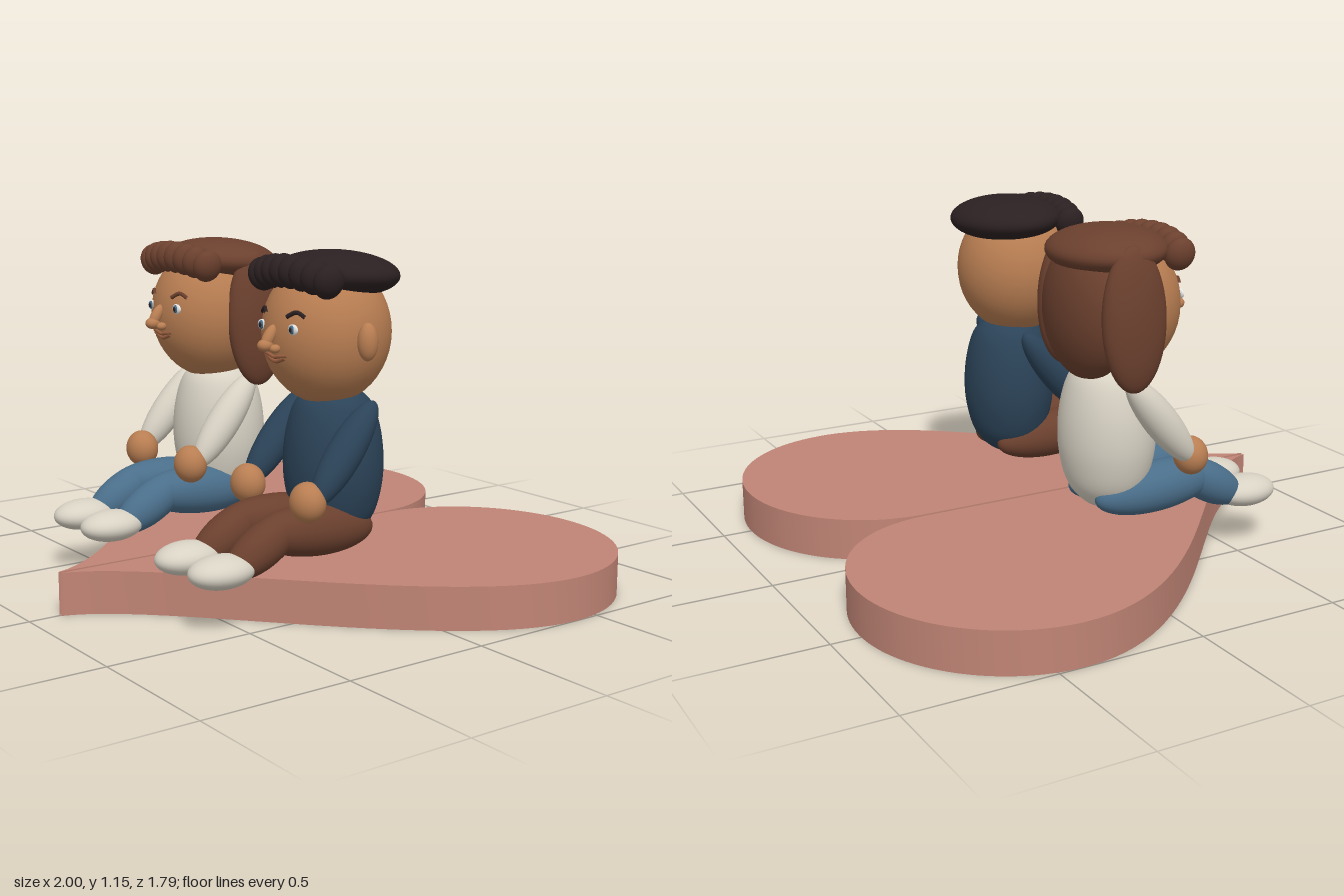
import * as THREE from 'three';
import { toCreasedNormals } from 'three/addons/utils/BufferGeometryUtils.js';

const mat = (name, color) => {
  const m = new THREE.MeshStandardMaterial({ color });
  m.name = name;
  return m;
};

export function createModel() {
  const clay = mat('rose heart', 0xc08475);
  const skin = mat('skin', 0xb97e52);
  const cream = mat('cream', 0xd8d2c4);
  const navy = mat('navy', 0x2b4358);
  const denim = mat('denim', 0x4a6e8a);
  const brown = mat('brown', 0x6b402e);
  const black = mat('black', 0x2b2021);
  const white = mat('eye white', 0xf2f2f0);
  const lip = mat('lip', 0x9a5f40);

  const V = (x, y, z) => new THREE.Vector3(x, y, z);
  const ball = new THREE.SphereGeometry(1, 36, 24);
  const add = (parent, name, geometry, material) => {
    const m = new THREE.Mesh(geometry, material);
    m.name = name;
    parent.add(m);
    return m;
  };
  // Ellipsoid at p with radii r
  const blob = (parent, name, material, p, r) => {
    const m = add(parent, name, ball, material);
    m.position.set(...p);
    m.scale.set(...r);
    return m;
  };
  // Ellipsoid limb stretched from a to b
  const limb = (parent, name, material, a, b, r) => {
    const A = V(...a), B = V(...b), d = B.clone().sub(A);
    const m = blob(parent, name, material, A.clone().add(B).multiplyScalar(0.5).toArray(), [r, d.length() / 2, r]);
    m.quaternion.setFromUnitVectors(V(0, 1, 0), d.normalize());
    return m;
  };

  const model = new THREE.Group();
  model.name = 'coupleOnHeart';

  // Heart base: two halves joined by a round puzzle tab
  const halfHeart = (s) => {
    const g = 0.007, r = s > 0 ? 0.092 : 0.08, cy = -0.24;
    const p = new THREE.Shape();
    p.moveTo(s * g, 0.45);
    p.bezierCurveTo(s * g, 0.7, s * 0.22, 0.9, s * 0.49, 0.9);
    p.bezierCurveTo(s * 0.77, 0.9, s, 0.68, s, 0.41);
    p.bezierCurveTo(s, -0.1, s * 0.1, -0.55, s * g, -0.89);
    p.lineTo(s * g, cy - r);
    p.absarc(0, cy, r, -Math.PI / 2, Math.PI / 2, false);
    p.lineTo(s * g, cy + r);
    p.closePath();
    const geo = new THREE.ExtrudeGeometry(p, { depth: 0.142, bevelEnabled: false, curveSegments: 32 });
    geo.rotateX(-Math.PI / 2);
    add(model, s > 0 ? 'leftHeartHalf' : 'rightHeartHalf', toCreasedNormals(geo, 0.5), clay);
  };
  halfHeart(1);
  halfHeart(-1);

  // Shared body profile
  const torsoGeo = new THREE.LatheGeometry(new THREE.SplineCurve(
    [[0, 0.2], [0.065, 0.215], [0.125, 0.28], [0.154, 0.38], [0.16, 0.48], [0.148, 0.58], [0.12, 0.66], [0.07, 0.7], [0, 0.71]]
      .map(([x, y]) => new THREE.Vector2(x, y))).getPoints(40).map((q) => q.setX(Math.max(0, q.x))), 40);

  const headC = [0, 0.89, 0.09], headR = [0.21, 0.235, 0.21];
  const faceZ = (x, y) => headC[2] + headR[2] * Math.sqrt(1 - (x / headR[0]) ** 2 - ((y - headC[1]) / headR[1]) ** 2);
  // Thin strand following the face through (x, y) points
  const strand = (parent, name, material, pts, r) => {
    const curve = new THREE.CatmullRomCurve3(pts.map(([x, y]) => V(x, y, faceZ(x, y) + 0.002)));
    add(parent, name, new THREE.TubeGeometry(curve, 16, r, 8), material);
  };

  const person = (name, x, shirt, trousers, hair, longHair) => {
    const g = new THREE.Group();
    g.name = name;
    g.position.x = x;
    model.add(g);

    const torso = add(g, 'torso', torsoGeo, shirt);
    torso.scale.x = 1.08;
    torso.position.z = 0.06;

    blob(g, 'head', skin, headC, headR);

    for (const s of [-1, 1]) {
      // Arms and hands
      limb(g, 'arm', shirt, [s * 0.175, 0.68, 0.03], [s * 0.185, 0.375, 0.275], 0.058);
      blob(g, 'hand', skin, [s * 0.165, 0.385, 0.285], [0.063, 0.065, 0.056]);

      // Legs and shoes
      limb(g, 'thigh', trousers, [s * 0.085, 0.25, -0.03], [s * 0.095, 0.29, 0.44], 0.085);
      limb(g, 'shin', trousers, [s * 0.095, 0.33, 0.27], [s * 0.098, 0.175, 0.54], 0.069);
      blob(g, 'shoe', cream, [s * 0.098, 0.194, 0.563], [0.083, 0.053, 0.113]);

      // Eyes and brows
      const ez = faceZ(0.082, 0.917);
      blob(g, 'eyeWhite', white, [s * 0.082, 0.917, ez], [0.025, 0.017, 0.008]);
      blob(g, 'iris', denim, [s * 0.082, 0.917, ez + 0.004], [0.014, 0.014, 0.007]);
      blob(g, 'pupil', black, [s * 0.082, 0.917, ez + 0.008], [0.008, 0.008, 0.005]);
      strand(g, 'brow', hair, [[s * 0.055, 0.955], [s * 0.085, 0.97], [s * 0.115, 0.955]], 0.007);

      // Nostril wings
      blob(g, 'nostril', skin, [s * 0.022, 0.853, 0.308], [0.016, 0.014, 0.018]);

      if (longHair) {
        const lock = blob(g, 'sideLock', hair, [s * 0.203, 0.88, 0.03], [0.058, 0.235, 0.115]);
        lock.rotation.z = s * 0.05;
      } else {
        blob(g, 'ear', skin, [s * 0.225, 0.88, 0.1], [0.032, 0.06, 0.033]);
      }
    }

    // Nose and mouth
    limb(g, 'noseBridge', skin, [0, 0.925, 0.293], [0, 0.85, 0.34], 0.019);
    blob(g, 'noseTip', skin, [0, 0.863, 0.33], [0.023, 0.02, 0.026]);
    strand(g, 'upperLip', lip, [[-0.058, 0.832], [-0.02, 0.827], [0, 0.823], [0.02, 0.827], [0.058, 0.832]], 0.006);
    strand(g, 'lowerLip', lip, [[-0.048, 0.824], [0, 0.81], [0.048, 0.824]], 0.007);

    // Hair cap and rolled fringe
    const cap = blob(g, 'hairCap', hair, [0, 1.075, 0.05], [0.225, 0.075, 0.19]);
    cap.rotation.x = -0.05;
    for (let i = 0; i < 8; i++) {
      const t = (i - 3.5) / 3.5;
      const curl = blob(g, 'fringeCurl', hair, [t * 0.175, 1.09 - 0.022 * t * t, 0.24 - 0.025 * t * t], [0.04, 0.055, 0.052]);
      curl.rotation.z = -0.3 * t;
    }
    if (longHair) blob(g, 'backHair', hair, [0, 0.885, -0.02], [0.2, 0.235, 0.123]);
  };

  person('longHairedFigure', -0.342, cream, denim, brown, true);
  person('shortHairedFigure', 0.342, navy, brown, black, false);
  return model;
}
